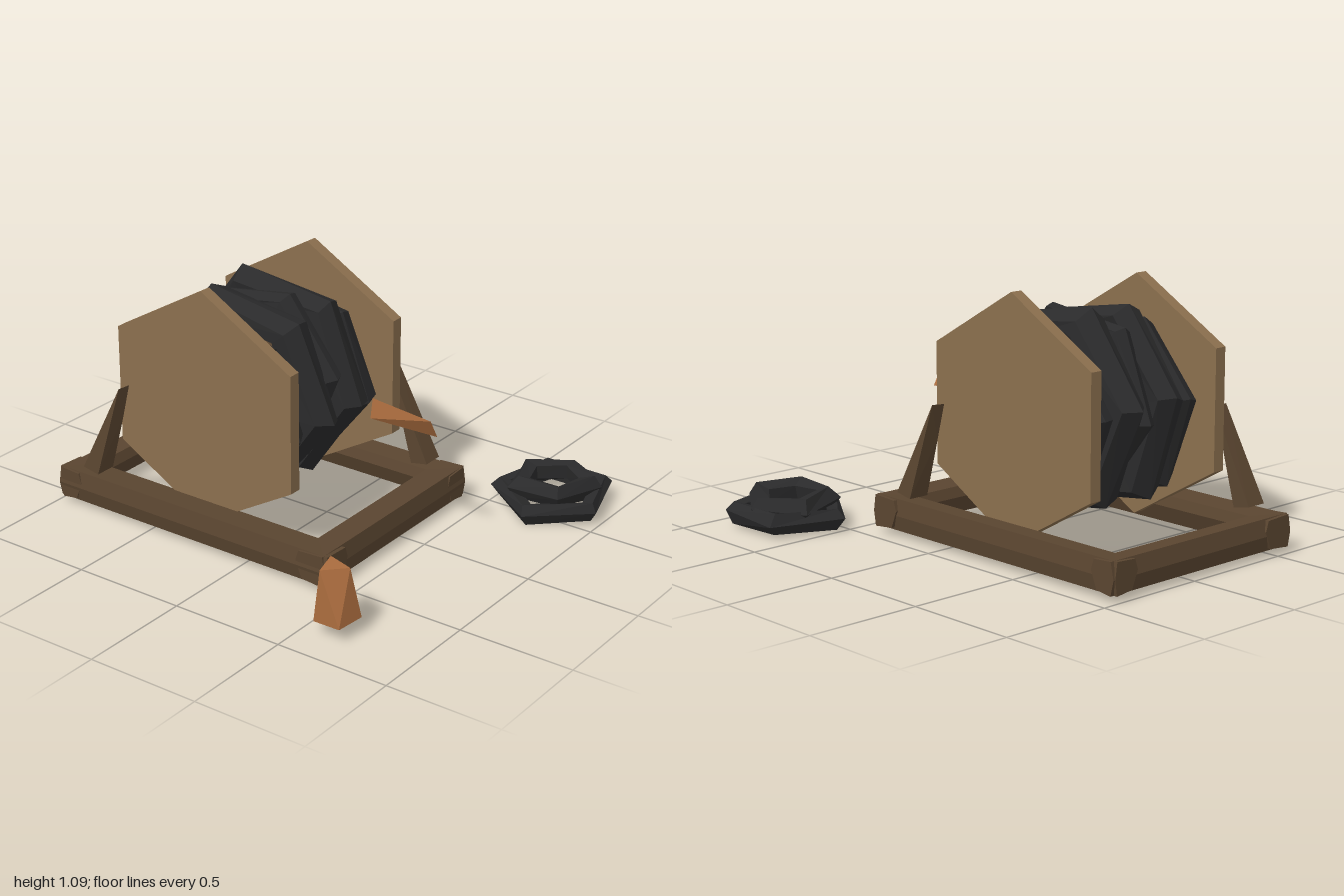
import * as THREE from 'three';
import { ConvexGeometry } from 'three/addons/geometries/ConvexGeometry.js';

export function createModel() {
  const model = new THREE.Group();
  model.name = 'cableReel';

  const mat = (name, color) => {
    const m = new THREE.MeshStandardMaterial({ color, flatShading: true });
    m.name = name;
    return m;
  };
  const lightWood = mat('lightWood', 0x8b6f4e);
  const darkWood = mat('darkWood', 0x5a4530);
  const cable = mat('blackCable', 0x2a2a2b);
  const copper = mat('copper', 0xaa6c3e);

  const add = (name, geo, material, parent = model) => {
    const mesh = new THREE.Mesh(geo, material);
    mesh.name = name;
    parent.add(mesh);
    return mesh;
  };
  // Faceted solid around a few corner points
  const hull = (pts) => new ConvexGeometry(pts.map((p) => new THREE.Vector3(...p)));

  // Low-poly ring of cable, made uneven; coinciding seam points move together
  const cableRing = (r, t, sides, segments, seed) => {
    const geo = new THREE.TorusGeometry(r, t, sides, segments);
    const p = geo.attributes.position;
    for (let i = 0; i < p.count; i++) {
      const v = new THREE.Vector3().fromBufferAttribute(p, i);
      const key = Math.round(v.x * 1000) * 0.37 + Math.round(v.y * 1000) * 0.73 + Math.round(v.z * 1000) * 1.19 + seed;
      const amount = 0.13 * t;
      p.setXYZ(i, v.x + amount * Math.sin(key), v.y + amount * Math.sin(key * 1.7 + 1), v.z + amount * Math.sin(key * 2.3 + 2));
    }
    return geo;
  };

  // Base beam along x or z: ridge on the outer side, underside cut back on the inner side
  const beam = (name, from, to, inner, outer, ridge, alongX) => {
    const cut = Math.sign(outer - inner);
    const section = [
      [inner + 0.03 * cut, 0.03], [inner, 0.105], [inner + 0.015 * cut, 0.15],
      [outer, 0.156], [ridge, 0.085], [outer, 0.02],
    ];
    const pts = [from, to].flatMap((end) => section.map(([s, y]) => (alongX ? [end, y, s] : [s, y, end])));
    add(name, hull(pts), darkWood);
  };
  beam('frontBeam', -0.99, 0.42, 0.435, 0.572, 0.586, true);
  beam('backBeam', -0.99, 0.41, -0.31, -0.422, -0.433, true);
  beam('rightBeam', -0.44, 0.583, -0.868, -0.972, -0.988, false);
  beam('leftBeam', -0.44, 0.583, 0.27, 0.402, 0.413, false);

  // Two diagonal props, each ending in a sharp edge, on opposite corners
  const propPoints = [
    [-0.87, 0.18, 0.56], [-0.79, 0.165, 0.56], [-0.87, 0.18, 0.465], [-0.79, 0.165, 0.465],
    [-0.685, 0.575, 0.525], [-0.685, 0.57, 0.46], [-0.715, 0.42, 0.47],
  ];
  add('frontProp', hull(propPoints), darkWood);
  add('backProp', hull(propPoints.map(([x, y, z]) => [-0.574 - x, y, 0.15 - z])), darkWood);

  // Reel: two hexagonal flanges on a hexagonal core
  const reel = new THREE.Group();
  reel.name = 'reel';
  reel.position.set(-0.287, 0.568, 0);
  model.add(reel);
  for (const [name, z] of [['frontFlange', 0.432], ['backFlange', -0.28]]) {
    const geo = new THREE.CylinderGeometry(0.514, 0.514, 0.055, 6);
    geo.rotateX(Math.PI / 2);
    add(name, geo, lightWood, reel).position.z = z;
  }
  const core = new THREE.CylinderGeometry(0.18, 0.18, 0.7, 6);
  core.rotateX(Math.PI / 2);
  add('core', core, darkWood, reel).position.z = 0.076;

  // Wound cable, hexagonal turns: height offset, z, ring radius, tube radius, roll
  const turns = [
    [-0.025, -0.165, 0.334, 0.07, -0.17],
    [0.008, -0.037, 0.378, 0.081, -0.13],
    [0.04, 0.074, 0.354, 0.053, 0.15],
    [0.008, 0.186, 0.376, 0.083, -0.15],
    [-0.025, 0.312, 0.329, 0.074, -0.17],
  ];
  turns.forEach(([y, z, r, t, roll], i) => {
    const ring = add('cableTurn' + (i + 1), cableRing(r, t, 6, 6, i * 5), cable, reel);
    ring.position.set(0, y, z);
    ring.rotation.z = roll;
  });

  // Crank handle: a twisted four-cornered wedge
  add('crankHandle', hull([
    [0.267, 0.615, 0.05], [0.267, 0.53, 0.065], [0.58, 0.612, 0.095], [0.58, 0.525, 0.045],
  ]), copper);

  // Standing copper peg: five corners below, three above
  add('peg', hull([
    [0.62, 0.055, 0.685], [0.702, 0.06, 0.735], [0.685, 0.055, 0.86],
    [0.56, 0.05, 0.855], [0.532, 0.055, 0.755],
    [0.555, 0.28, 0.735], [0.672, 0.28, 0.77], [0.59, 0.28, 0.855],
  ]), copper);

  // Loose coil lying on the ground: two pentagonal loops turned against each other
  const coil = new THREE.Group();
  coil.name = 'looseCoil';
  coil.position.set(0.74, 0, -0.63);
  model.add(coil);
  const loop = (name, r, t, y, roll, tiltX, tiltZ) => {
    const geo = cableRing(r, t, 5, 5, 3);
    geo.rotateX(-Math.PI / 2);
    geo.rotateY(roll);
    const mesh = add(name, geo, cable, coil);
    mesh.position.y = y;
    mesh.rotation.set(tiltX, 0, tiltZ);
  };
  loop('outerLoop', 0.225, 0.048, 0.052, -Math.PI / 2, 0.03, 0.01);
  loop('innerLoop', 0.155, 0.052, 0.1, Math.PI / 2, -0.04, 0.03);

  return model;
}
